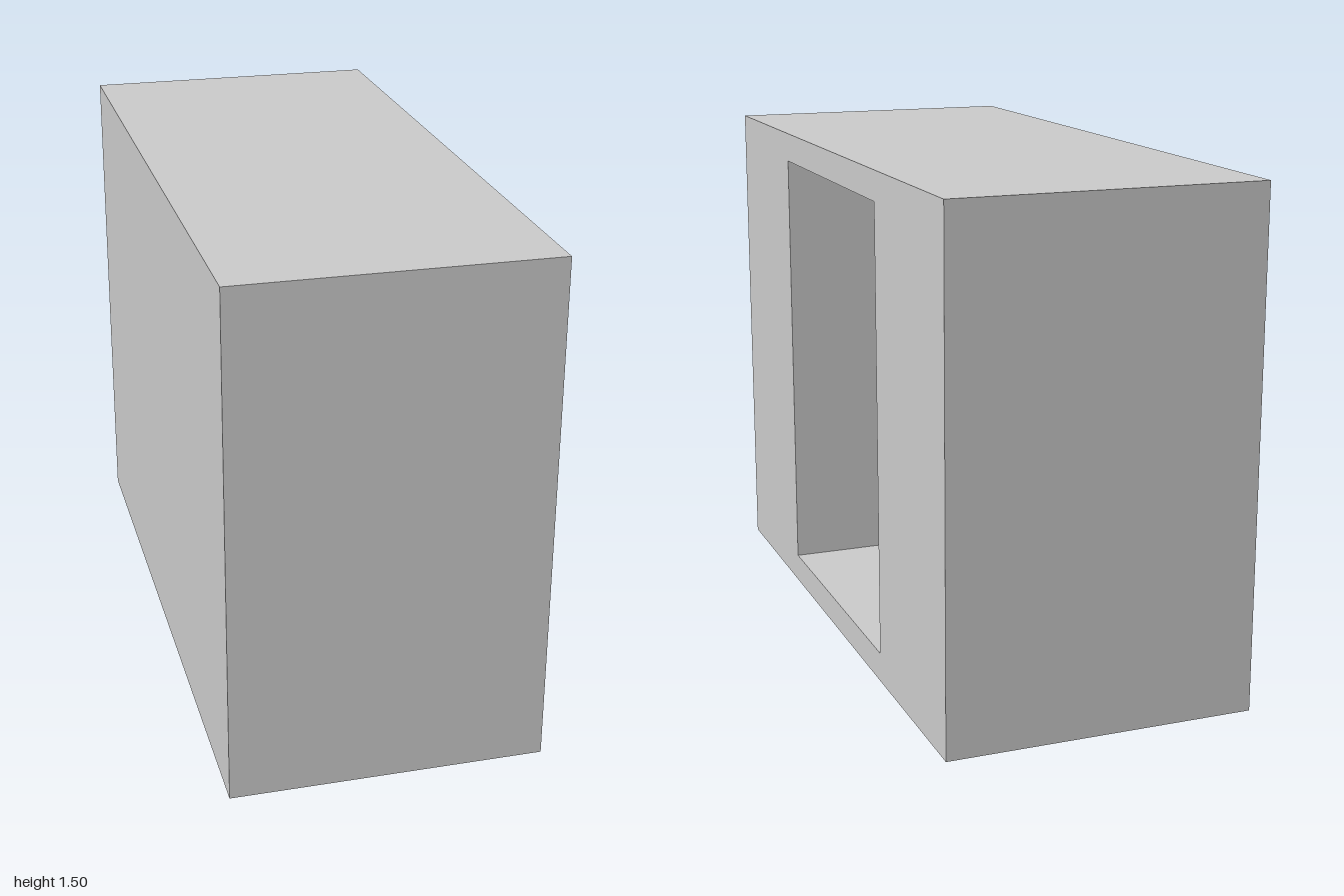
import * as THREE from 'three';

const HALF_W = 0.453, HEIGHT = 1.495, HALF_L = 1;
const WALL = 0.087; // thickness of floor, ceiling and back wall

// Rectangle outline traced on a shape or path
function rect(path, x0, y0, x1, y1) {
  path.moveTo(x0, y0);
  path.lineTo(x1, y0);
  path.lineTo(x1, y1);
  path.lineTo(x0, y1);
  path.closePath();
  return path;
}

export function createModel() {
  const group = new THREE.Group();
  const material = new THREE.MeshStandardMaterial({ color: 0xcccccc, flatShading: true });

  // Block with a rectangular opening, extruded across the width
  const outline = rect(new THREE.Shape(), -HALF_L, 0, HALF_L, HEIGHT);
  outline.holes.push(rect(new THREE.Path(), -0.447, WALL, 0.442, HEIGHT - WALL));
  const frame = new THREE.ExtrudeGeometry(outline, { depth: 2 * HALF_W - WALL, bevelEnabled: false });
  frame.rotateY(Math.PI / 2); // extrusion runs along x, outline x becomes -z
  frame.translate(-HALF_W + WALL, 0, 0);
  const frameMesh = new THREE.Mesh(frame, material);
  frameMesh.name = 'casing';
  group.add(frameMesh);

  // Closed wall behind the opening
  const back = new THREE.Mesh(new THREE.BoxGeometry(WALL, HEIGHT, 2 * HALF_L), material);
  back.name = 'backWall';
  back.position.set(-HALF_W + WALL / 2, HEIGHT / 2, 0);
  group.add(back);

  return group;
}
